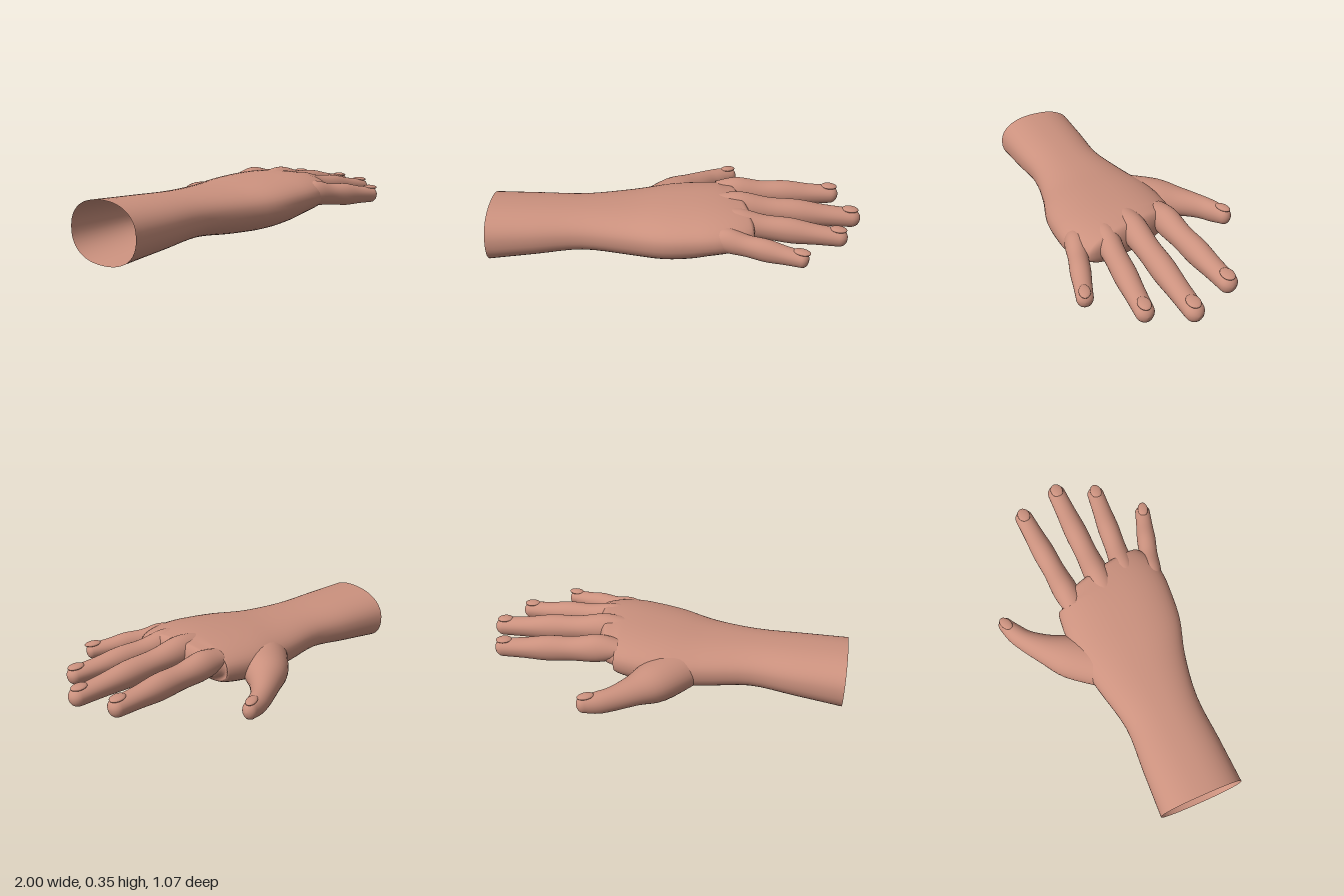
import * as THREE from 'three';

const skin = new THREE.MeshStandardMaterial({ color: 0xcb917e, side: THREE.DoubleSide });
skin.name = 'skin';

// Smooth value between rows of numbers (Catmull-Rom on every column)
function sampleRows(rows, u) {
  const k = Math.min(Math.floor(u), rows.length - 2), t = u - k;
  const at = (i) => rows[Math.max(0, Math.min(rows.length - 1, i))];
  const [a, b, c, d] = [at(k - 1), at(k), at(k + 1), at(k + 2)];
  return b.map((_, j) => b[j] + 0.5 * t * (c[j] - a[j]
    + t * (2 * a[j] - 5 * b[j] + 4 * c[j] - d[j] + t * (3 * (b[j] - c[j]) + d[j] - a[j]))));
}

// Skin over cross-sections [x, y, z, halfWidth, up, down], open at the start, rounded at the end
function loft(name, rows, capLength, power = 2, sides = 32, steps = 4) {
  const count = (rows.length - 1) * steps, rings = [];
  for (let i = 0; i <= count; i++) rings.push(sampleRows(rows, i / steps));
  const dirs = rings.map((_, i) => {
    const a = rings[Math.max(0, i - 1)], b = rings[Math.min(count, i + 1)];
    return new THREE.Vector3(b[0] - a[0], b[1] - a[1], b[2] - a[2]).normalize();
  });
  // Rounded end
  const end = rings[count], dir = dirs[count];
  for (let i = 1; i <= 6; i++) {
    const a = i / 6 * Math.PI / 2, f = Math.max(Math.cos(a), 0.001), s = Math.sin(a) * capLength;
    rings.push([end[0] + dir.x * s, end[1] + dir.y * s, end[2] + dir.z * s, end[3] * f, end[4] * f, end[5] * f]);
    dirs.push(dir);
  }
  const pos = [], index = [];
  const bend = (v) => Math.sign(v) * Math.pow(Math.abs(v), 2 / power);
  rings.forEach(([x, y, z, w, up, down], k) => {
    const l = Math.hypot(dirs[k].x, dirs[k].z), sx = -dirs[k].z / l, sz = dirs[k].x / l;
    for (let i = 0; i < sides; i++) {
      const a = i / sides * Math.PI * 2, c = bend(Math.cos(a)) * w, s = bend(Math.sin(a));
      pos.push(x + sx * c, y + s * (s > 0 ? up : down), z + sz * c);
      if (k < rings.length - 1) {
        const p = k * sides + i, q = k * sides + (i + 1) % sides;
        index.push(p, p + sides, q, q, p + sides, q + sides);
      }
    }
  });
  const geo = new THREE.BufferGeometry();
  geo.setAttribute('position', new THREE.Float32BufferAttribute(pos, 3));
  geo.setIndex(index);
  geo.computeVertexNormals();
  const mesh = new THREE.Mesh(geo, skin);
  mesh.name = name;
  return mesh;
}

// Flattened nail lying on a fingertip
function nail(name, x, y, z, length, width, yaw) {
  const mesh = new THREE.Mesh(new THREE.SphereGeometry(1, 20, 12), skin);
  mesh.scale.set(length, 0.013, width);
  mesh.position.set(x, y, z);
  mesh.rotation.set(0, yaw, -0.08);
  mesh.name = name;
  return mesh;
}

// Finger shape along its length: [position, width, up, down]
const fingerShape = [
  [-0.2, 0.95, 0.8, 0.9], [0, 1.12, 1.25, 1.25], [0.24, 0.98, 0.98, 1.2],
  [0.48, 1, 1.05, 1.25], [0.7, 0.88, 0.82, 1.05], [0.92, 0.8, 0.72, 0.9],
];

function finger(name, base, tip, r) {
  const group = new THREE.Group();
  group.name = name;
  const a = new THREE.Vector3(...base), b = new THREE.Vector3(...tip), p = new THREE.Vector3();
  const rows = fingerShape.map(([t, w, up, down]) => {
    p.lerpVectors(a, b, t);
    return [p.x, p.y, p.z, w * r, up * r, down * r];
  });
  const len = a.distanceTo(b);
  group.add(loft(name + 'Skin', rows, len * 0.08));
  p.lerpVectors(a, b, 0.91);
  group.add(nail(name + 'Nail', p.x, p.y + r * 0.7, p.z, 0.045, r * 0.55, -Math.atan2(b.z - a.z, b.x - a.x)));
  return group;
}

export function createModel() {
  const hand = new THREE.Group();
  hand.name = 'hand';

  // Forearm, wrist and palm in one skin
  hand.add(loft('forearmAndPalm', [
    [-1, 0.155, 0.09, 0.23, 0.152, 0.155],
    [-0.75, 0.168, 0.09, 0.22, 0.135, 0.135],
    [-0.5, 0.18, 0.09, 0.21, 0.12, 0.115],
    [-0.25, 0.185, 0.085, 0.258, 0.123, 0.135],
    [-0.05, 0.2, 0.09, 0.31, 0.128, 0.15],
    [0.12, 0.215, 0.1, 0.32, 0.126, 0.142],
    [0.24, 0.225, 0.108, 0.312, 0.118, 0.112],
    [0.33, 0.235, 0.09, 0.275, 0.1, 0.088],
  ], 0.045, 2.3, 48));

  // Four fingers
  hand.add(finger('indexFinger', [0.33, 0.262, -0.125], [0.905, 0.228, -0.172], 0.063));
  hand.add(finger('middleFinger', [0.34, 0.275, 0.072], [0.995, 0.208, 0.068], 0.064));
  hand.add(finger('ringFinger', [0.33, 0.262, 0.225], [0.895, 0.208, 0.282], 0.06));
  hand.add(finger('littleFinger', [0.27, 0.237, 0.368], [0.67, 0.203, 0.495], 0.053));

  // Thumb with its fleshy base
  const thumb = new THREE.Group();
  thumb.name = 'thumb';
  thumb.add(loft('thumbSkin', [
    [-0.13, 0.17, -0.07, 0.13, 0.11, 0.11],
    [-0.01, 0.17, -0.235, 0.122, 0.105, 0.115],
    [0.08, 0.168, -0.34, 0.085, 0.08, 0.08],
    [0.17, 0.165, -0.425, 0.06, 0.065, 0.068],
    [0.24, 0.165, -0.47, 0.052, 0.057, 0.066],
    [0.305, 0.165, -0.5, 0.04, 0.048, 0.052],
  ], 0.04));
  thumb.add(nail('thumbNail', 0.295, 0.213, -0.497, 0.045, 0.028, 0.45));
  hand.add(thumb);

  return hand;
}
